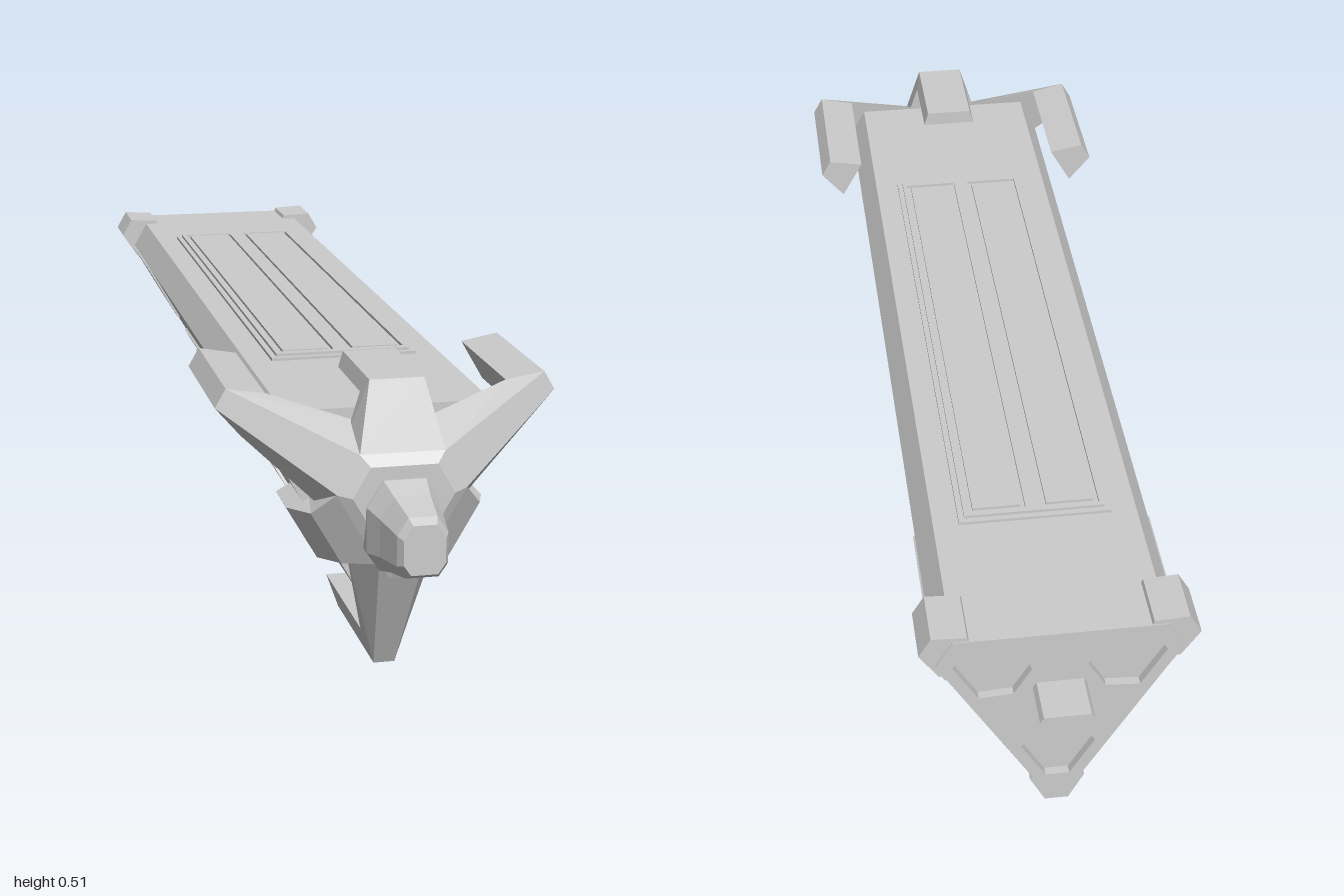
import * as THREE from 'three';

const CY = 0.317; // height of the three-fold axis
const mat = new THREE.MeshStandardMaterial({ color: 0xcccccc, flatShading: true });

function mesh(name, geo, parent) {
  const m = new THREE.Mesh(geo, mat);
  m.name = name;
  parent.add(m);
  return m;
}

// Closed skin through rings of equal point count, flat-shaded, facing outward
function loft(rings) {
  const tris = [], n = rings[0].length;
  for (let i = 0; i < rings.length - 1; i++)
    for (let j = 0; j < n; j++) {
      const k = (j + 1) % n, a = rings[i], b = rings[i + 1];
      tris.push([a[j], a[k], b[k]], [a[j], b[k], b[j]]);
    }
  const first = rings[0], last = rings[rings.length - 1];
  for (let j = 1; j < n - 1; j++) {
    tris.push([first[0], first[j + 1], first[j]], [last[0], last[j], last[j + 1]]);
  }
  let volume = 0;
  const v = tris.map(t => t.map(p => new THREE.Vector3(...p)));
  v.forEach(([a, b, c]) => { volume += a.dot(b.clone().cross(c)); });
  const pts = v.flatMap(([a, b, c]) => (volume < 0 ? [a, c, b] : [a, b, c]));
  const g = new THREE.BufferGeometry().setFromPoints(pts);
  g.computeVertexNormals();
  return g;
}

// Mirrored four-point ring: half width, height, depth of outer then inner edge
const trap = (w1, y1, z1, w2, y2, z2) =>
  [[-w1, y1, z1], [w1, y1, z1], [w2, y2, z2], [-w2, y2, z2]];

const shapeOf = pts => new THREE.Shape(pts.map(p => new THREE.Vector2(p[0], p[1])));
const rectPts = (x0, x1, y0, y1) => [[x0, y0], [x1, y0], [x1, y1], [x0, y1]];
const extrude = (shape, depth) => new THREE.ExtrudeGeometry(shape, { depth, bevelEnabled: false });

// Repeat a profile given at the lower corner around the axis
function threeFold(pts) {
  const out = [];
  for (let i = 0; i < 3; i++) {
    const a = i * 2 * Math.PI / 3, c = Math.cos(a), s = Math.sin(a);
    pts.forEach(([x, y]) => out.push([x * c - y * s, x * s + y * c]));
  }
  return out;
}

// Thin plate on a sloping hull side; points are [z, y]
function sidePlate(name, pts, sgn, h, parent) {
  const shape = shapeOf(pts.map(([z, y]) => [-sgn * z, (y - 0.2505) / 0.866]));
  const g = extrude(shape, h + 0.002);
  const m = new THREE.Matrix4().makeBasis(
    new THREE.Vector3(0, 0, -sgn),
    new THREE.Vector3(sgn * 0.5, 0.866, 0),
    new THREE.Vector3(sgn * 0.866, -0.5, 0));
  m.setPosition(sgn * 0.1135, 0.2515, 0);
  mesh(name, g.applyMatrix4(m), parent);
}

export function createModel() {
  const model = new THREE.Group();
  model.name = 'ship';
  const core = new THREE.Group();
  core.name = 'axisParts';
  core.position.y = CY;
  model.add(core);

  // Hull: triangular prism with cut corners
  const hullPts = threeFold([[-0.028, -0.217], [0.028, -0.217]]);
  mesh('hull', extrude(shapeOf(hullPts), 1.665), core).position.z = -0.905;

  // Rear plate with three recessed corner windows
  const rear = shapeOf(hullPts);
  const panel = [[-0.02, -0.19], [0.02, -0.19], [0.062, -0.117], [0.03, -0.07], [-0.03, -0.07], [-0.062, -0.117]];
  for (let i = 0; i < 3; i++) {
    const a = i * 2 * Math.PI / 3, c = Math.cos(a), s = Math.sin(a);
    rear.holes.push(new THREE.Path(panel.map(([x, y]) => new THREE.Vector2(x * c - y * s, x * s + y * c))));
  }
  mesh('rearPlate', extrude(rear, 0.015), core).position.z = -0.92;

  // Rear spike
  const spike = threeFold([[-0.006, -0.048], [0.006, -0.048]]);
  mesh('rearSpike', extrude(shapeOf(spike), 0.09), core).position.z = -1;

  // Hub behind the nose, narrowing to a neck
  const hubRing = (r, z) => [50, 130, 170, 250, 290, 370].map(d => {
    const a = d * Math.PI / 180;
    return [r * Math.cos(a), r * Math.sin(a), z];
  });
  mesh('hub', loft([hubRing(0.075, 0.75), hubRing(0.085, 0.79), hubRing(0.109, 0.86), hubRing(0.085, 0.872)]), core);

  for (let i = 0; i < 3; i++) {
    const turn = i * 2 * Math.PI / 3;

    // Long arm with a claw running back along each hull corner
    mesh('longClaw', loft([
      trap(0.037, -0.102, 0.86, 0.075, -0.102, 0.79),
      trap(0.018, -0.317, 0.755, 0.04, -0.255, 0.75),
      trap(0.018, -0.317, 0.49, 0.04, -0.255, 0.49),
    ]), core).rotation.z = turn;

    // Short arm: a raised hook on top, a low block on each side
    const short = i === 0 ? [
      trap(0.07, 0.083, 0.86, 0.08, 0.083, 0.79),
      trap(0.045, 0.193, 0.815, 0.053, 0.166, 0.785),
      trap(0.045, 0.193, 0.63, 0.053, 0.166, 0.63),
    ] : [
      trap(0.07, 0.083, 0.86, 0.07, 0.083, 0.77),
      trap(0.051, 0.133, 0.82, 0.051, 0.12, 0.755),
      trap(0.052, 0.161, 0.745, 0.052, 0.125, 0.735),
      trap(0.052, 0.161, 0.66, 0.052, 0.125, 0.66),
    ];
    mesh(i === 0 ? 'topHook' : 'sideBlock', loft(short), core).rotation.z = turn;

    // Rear corner clamp
    const clamp = [[-0.02, -0.252], [0.02, -0.252], [0.046, -0.2], [0.038, -0.19], [-0.038, -0.19], [-0.046, -0.2]];
    const cl = mesh('rearClamp', extrude(shapeOf(clamp), 0.1), core);
    cl.position.z = -0.918;
    cl.rotation.z = turn;
  }

  // Nose: tapering eight-sided loft
  const noseHalf = [[0.035, 0.073], [0.062, 0.03], [0.062, -0.045], [0.04, -0.077]];
  const nosePts = [...noseHalf, ...noseHalf.map(([x, y]) => [-x, y]).reverse()];
  const noseRing = ([z, s]) => nosePts.map(([x, y]) => [x * s, 0.287 + y * s, z]);
  mesh('nose', loft([[0.855, 1], [0.875, 1], [0.92, 0.83], [0.985, 0.66], [1, 0.54]].map(noseRing)), model);
  mesh('chinIntake', loft([
    trap(0.012, 0.235, 0.85, 0.027, 0.2, 0.85),
    trap(0.012, 0.235, 0.9, 0.025, 0.2, 0.885),
  ]), model);

  // Top deck: frame with two inset panels
  const deck = new THREE.Group();
  deck.name = 'topDeck';
  deck.rotation.x = -Math.PI / 2;
  deck.position.y = 0.449;
  model.add(deck);
  mesh('deckBase', extrude(shapeOf(rectPts(-0.13, 0.13, -0.45, 0.64)), 0.006), deck);
  const frame = shapeOf(rectPts(-0.12, 0.12, -0.44, 0.63));
  for (const s of [-1, 1]) {
    const x0 = s * 0.063 - 0.049, x1 = s * 0.063 + 0.049;
    frame.holes.push(new THREE.Path(rectPts(x0, x1, -0.425, 0.62).map(p => new THREE.Vector2(...p))));
    mesh('deckPanel', extrude(shapeOf(rectPts(x0 + 0.008, x1 - 0.008, -0.417, 0.612)), 0.011), deck);
  }
  mesh('deckFrame', extrude(frame, 0.011), deck);

  // Side plates on both sloping faces
  const zigzag = [[0.27, 0.14], [0.24, 0.187], [-0.22, 0.187], [-0.155, 0.24], [-0.65, 0.24],
    [-0.69, 0.21], [-0.27, 0.21], [-0.35, 0.142], [-0.23, 0.142], [-0.225, 0.14]];
  const stepped = [[-0.6, 0.4], [-0.6, 0.28], [-0.7, 0.28], [-0.71, 0.292], [-0.8, 0.292],
    [-0.81, 0.366], [-0.915, 0.366], [-0.915, 0.4]];
  for (const sgn of [-1, 1]) {
    sidePlate('zigzagStrip', zigzag, sgn, 0.005, model);
    sidePlate('steppedPlate', stepped, sgn, 0.004, model);
  }
  return model;
}
